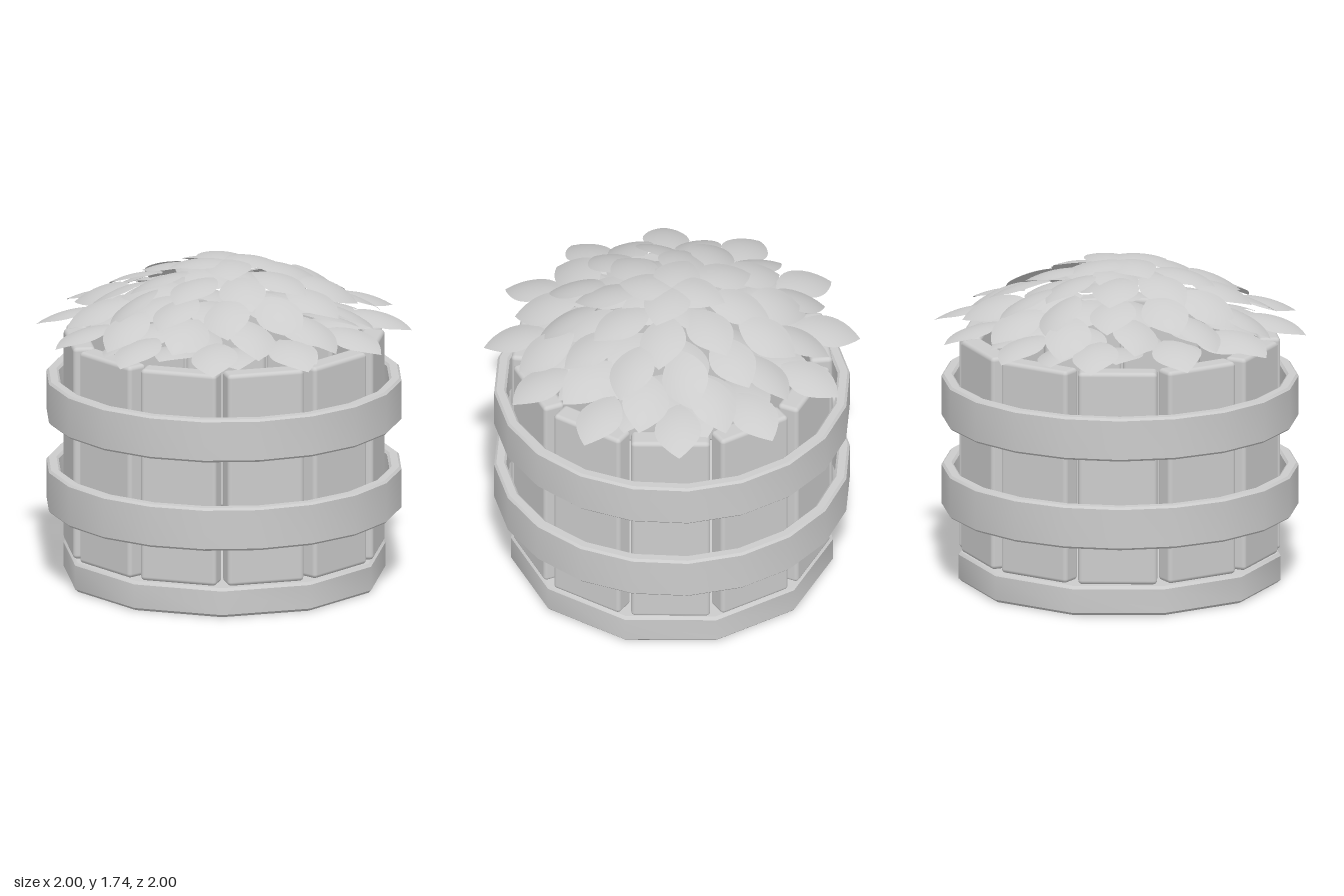
import * as THREE from 'three';
import { toCreasedNormals } from 'three/addons/utils/BufferGeometryUtils.js';
import { RoundedBoxGeometry } from 'three/addons/geometries/RoundedBoxGeometry.js';

const rad = THREE.MathUtils.degToRad;
const grey = new THREE.MeshStandardMaterial({ color: 0xcccccc });
const thin = new THREE.MeshStandardMaterial({ color: 0xcccccc, side: THREE.DoubleSide });

function addMesh(parent, name, geometry, material = grey) {
  const mesh = new THREE.Mesh(geometry, material);
  mesh.name = name;
  parent.add(mesh);
  return mesh;
}

// Faceted turned part, softly shaded around, crisp at its bevels
function turned(profile, sides, start = 0) {
  const points = profile.map(([r, y]) => new THREE.Vector2(r, y));
  return toCreasedNormals(new THREE.LatheGeometry(points, sides, start), rad(36));
}

// Round leaf with a short tip at +z, drooping along its length and cupped across
function leafGeometry(length, width) {
  const geometry = new THREE.PlaneGeometry(1, 1, 6, 12).rotateX(-Math.PI / 2);
  const p = geometry.attributes.position;
  for (let i = 0; i < p.count; i++) {
    const u = p.getZ(i) + 0.5;
    const outline = Math.pow(Math.sin(Math.PI * u), 0.75) * (1 - 0.25 * Math.pow(u, 6));
    const x = p.getX(i) * Math.max(0.01, outline) * width;
    const z = (u - 0.5) * length;
    p.setXYZ(i, x, 0.02 - 0.9 * z * z - 1.3 * x * x, z);
  }
  geometry.computeVertexNormals();
  return geometry;
}

export function createModel() {
  const model = new THREE.Group();
  model.name = 'barrelPlanter';

  // Eleven-sided base
  const R = 0.865, b = 0.015;
  addMesh(model, 'base', turned(
    [[0, 0], [R - b, 0], [R, b], [R, 0.16 - b], [R - b, 0.16], [0, 0.16]], 11));

  // Upright staves, one to each side of the base
  const staves = new THREE.Group();
  staves.name = 'staves';
  model.add(staves);
  const staveGeometry = new RoundedBoxGeometry(0.42, 1.165, 0.12, 3, 0.022);
  for (let i = 0; i < 11; i++) {
    const angle = (i + 0.5) / 11 * Math.PI * 2;
    const stave = addMesh(staves, 'stave', staveGeometry);
    stave.position.set(0.775 * Math.sin(angle), 0.7525, 0.775 * Math.cos(angle));
    stave.rotation.y = angle;
  }

  // Two hoops standing slightly clear of the staves
  const inner = 0.885, outer = 0.95, h = 0.118, c = 0.012;
  const hoopGeometry = turned([
    [inner, c - h], [inner + c, -h], [outer - c, -h], [outer, c - h],
    [outer, h - c], [outer - c, h], [inner + c, h], [inner, h - c], [inner, c - h],
  ], 20, Math.PI / 20);
  addMesh(model, 'lowerHoop', hoopGeometry).position.y = 0.507;
  addMesh(model, 'upperHoop', hoopGeometry).position.y = 0.995;

  // Leaves in overlapping rings: radius, height, count, phase, pitch, roll
  const foliage = new THREE.Group();
  foliage.name = 'foliage';
  model.add(foliage);
  const leaf = leafGeometry(0.36, 0.25);
  const rings = [
    [0.13, 1.715, 4, 45, 8, 8],
    [0.16, 1.66, 4, 0, 10, -6],
    [0.35, 1.645, 8, 5, 16, 8],
    [0.40, 1.53, 8, 24, 14, -8],
    [0.55, 1.565, 12, 5, 22, 10],
    [0.58, 1.44, 12, 20, 10, -8],
    [0.62, 1.37, 12, 9, 4, 5],
    [0.69, 1.485, 12, 16, 22, -8],
    [0.83, 1.42, 12, 0, 15, 4],
  ];
  for (const [r, y, count, phase, pitch, roll] of rings) {
    for (let i = 0; i < count; i++) {
      const angle = rad(phase + i * 360 / count);
      // Small variation that repeats every quarter turn
      const vary = r > 0.8 ? 0 : (i % (count / 4)) - 1;
      const mesh = addMesh(foliage, 'leaf', leaf, thin);
      const radius = r + 0.015 * vary;
      mesh.position.set(radius * Math.sin(angle), y - 0.008 * vary, radius * Math.cos(angle));
      mesh.rotation.set(rad(pitch + 4 * vary), angle + 0.12 * vary, rad(roll + 6 * vary), 'YXZ');
    }
  }
  return model;
}
